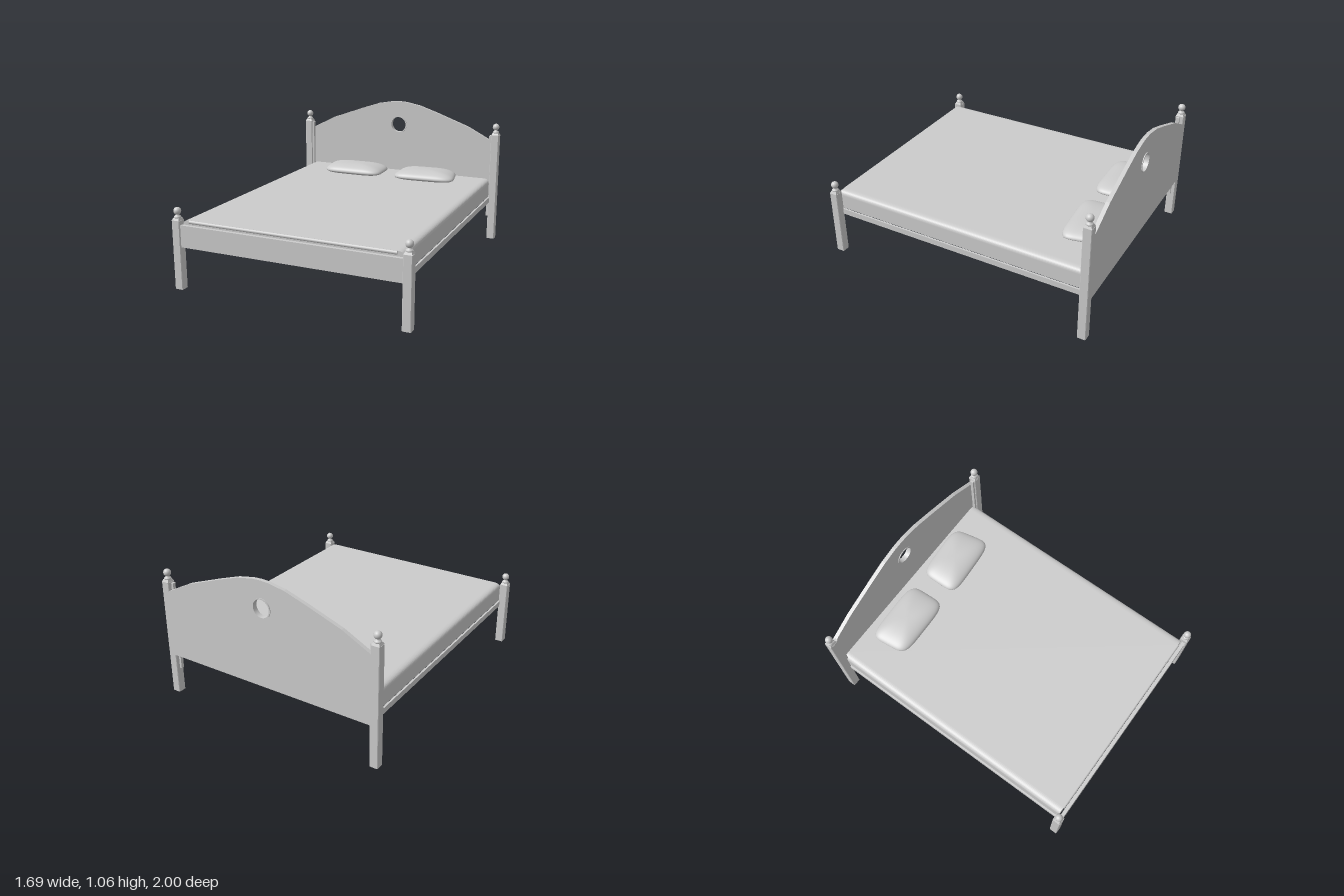
import * as THREE from 'three';

const material = new THREE.MeshStandardMaterial({ color: 0xcccccc, side: THREE.DoubleSide });

function add(parent, name, geometry, x = 0, y = 0, z = 0) {
  const mesh = new THREE.Mesh(geometry, material);
  mesh.name = name;
  mesh.position.set(x, y, z);
  parent.add(mesh);
  return mesh;
}

// box given by its two opposite corners
function block(parent, name, x0, x1, y0, y1, z0, z1) {
  return add(parent, name, new THREE.BoxGeometry(x1 - x0, y1 - y0, z1 - z0),
    (x0 + x1) / 2, (y0 + y1) / 2, (z0 + z1) / 2);
}

// square post with bevelled edges, a stepped collar and a ball finial
function makePost(name, height, x, z) {
  const post = new THREE.Group();
  post.name = name;
  post.position.set(x, 0, z);
  const a = 0.03, c = 0.004;
  const section = new THREE.Shape([
    [-a + c, -a], [a - c, -a], [a, -a + c], [a, a - c],
    [a - c, a], [-a + c, a], [-a, a - c], [-a, -a + c],
  ].map(p => new THREE.Vector2(...p)));
  const shaft = new THREE.ExtrudeGeometry(section, { depth: height, bevelEnabled: false });
  shaft.rotateX(-Math.PI / 2);
  add(post, 'postShaft', shaft);
  const cap = new THREE.CylinderGeometry(0.029, 0.04, 0.016, 4, 1).toNonIndexed();
  cap.rotateY(Math.PI / 4);
  cap.computeVertexNormals();
  add(post, 'postCap', cap, 0, height + 0.008, 0);
  const collar = [[0.021, 0.014], [0.024, 0.018], [0.024, 0.023], [0.02, 0.028], [0.013, 0.032], [0.012, 0.04]];
  add(post, 'finialCollar', new THREE.LatheGeometry(collar.map(p => new THREE.Vector2(...p)), 24), 0, height, 0);
  add(post, 'finialBall', new THREE.SphereGeometry(0.026, 24, 16), 0, height + 0.062, 0);
  return post;
}

// cushion: a squared-off sphere stretched over four plan corners
function makePillow(corners) {
  const geometry = new THREE.SphereGeometry(1, 64, 32);
  const p = geometry.attributes.position;
  const [bl, br, fr, fl] = corners;
  for (let i = 0; i < p.count; i++) {
    const x = p.getX(i), y = p.getY(i), z = p.getZ(i);
    const r = Math.hypot(x, z);
    let u = 0, v = 0;
    if (r > 1e-6) {
      const n = 5, cx = x / r, cz = z / r;
      const k = Math.pow(Math.abs(cx) ** n + Math.abs(cz) ** n, -1 / n) * Math.pow(r, 0.85);
      u = cx * k;
      v = cz * k;
    }
    const s = (u + 1) / 2, t = (v + 1) / 2;
    const mix = j => (1 - t) * ((1 - s) * bl[j] + s * br[j]) + t * ((1 - s) * fl[j] + s * fr[j]);
    p.setXYZ(i, mix(0), 0.508 + (y > 0 ? 0.057 : 0.032) * y, mix(1));
  }
  geometry.computeVertexNormals();
  return geometry;
}

export function createModel() {
  const bed = new THREE.Group();
  bed.name = 'bed';

  // four posts, cleats and side rails
  for (const side of [-1, 1]) {
    const label = side > 0 ? 'left' : 'right';
    bed.add(makePost(label + 'FootPost', 0.483, side * 0.816, 0.969));
    bed.add(makePost(label + 'HeadPost', 0.845, side * 0.816, -0.965));
    const cleat = [side * 0.789, side * 0.77].sort((a, b) => a - b);
    block(bed, label + 'Cleat', ...cleat, 0.185, 0.838, -0.968, -0.945);
    const rail = [side * 0.782, side * 0.795].sort((a, b) => a - b);
    block(bed, label + 'SideRail', ...rail, 0.3, 0.341, -0.95, 0.95);
  }

  // footboard rail
  block(bed, 'footRail', -0.79, 0.79, 0.3, 0.453, 0.963, 0.988);

  // arched headboard with a round opening
  const arch = [[0.79, 0.785], [0.59, 0.888], [0.33, 0.982], [0.18, 1.032], [0.06, 1.054], [0, 1.057]];
  const outline = new THREE.Shape();
  outline.moveTo(-0.79, 0.3);
  outline.lineTo(0.79, 0.3);
  arch.forEach(([x, y]) => outline.lineTo(x, y));
  arch.slice(0, -1).reverse().forEach(([x, y]) => outline.lineTo(-x, y));
  const opening = new THREE.Path();
  opening.absarc(0, 0.867, 0.066, 0, Math.PI * 2, true);
  outline.holes.push(opening);
  add(bed, 'headboard',
    new THREE.ExtrudeGeometry(outline, { depth: 0.027, bevelEnabled: false, curveSegments: 24 }), 0, 0, -0.995);

  // trim ring lining the opening
  const ring = new THREE.Shape();
  ring.absarc(0, 0.867, 0.071, 0, Math.PI * 2, false);
  const inner = new THREE.Path();
  inner.absarc(0, 0.867, 0.062, 0, Math.PI * 2, true);
  ring.holes.push(inner);
  add(bed, 'openingTrim',
    new THREE.ExtrudeGeometry(ring, { depth: 0.036, bevelEnabled: false, curveSegments: 32 }), 0, 0, -1);

  // mattress with softened top edges, rounded down at the foot end
  const section = new THREE.Shape();
  section.moveTo(-0.784, 0.345);
  section.lineTo(0.784, 0.345);
  section.lineTo(0.784, 0.45);
  section.quadraticCurveTo(0.782, 0.484, 0.735, 0.484);
  section.lineTo(-0.735, 0.484);
  section.quadraticCurveTo(-0.782, 0.484, -0.784, 0.45);
  section.closePath();
  add(bed, 'mattress',
    new THREE.ExtrudeGeometry(section, { depth: 1.92, bevelEnabled: false, curveSegments: 10 }), 0, 0, -0.967);
  const lip = new THREE.CylinderGeometry(0.012, 0.012, 1.47, 16, 1, false);
  lip.rotateZ(Math.PI / 2);
  add(bed, 'mattressFootEdge', lip, 0, 0.472, 0.951);

  // pair of pillows
  add(bed, 'rightPillow', makePillow([[-0.55, -0.905], [-0.05, -0.92], [-0.035, -0.62], [-0.515, -0.61]]));
  add(bed, 'leftPillow', makePillow([[0.072, -0.915], [0.515, -0.95], [0.575, -0.65], [0.08, -0.615]]));

  return bed;
}
